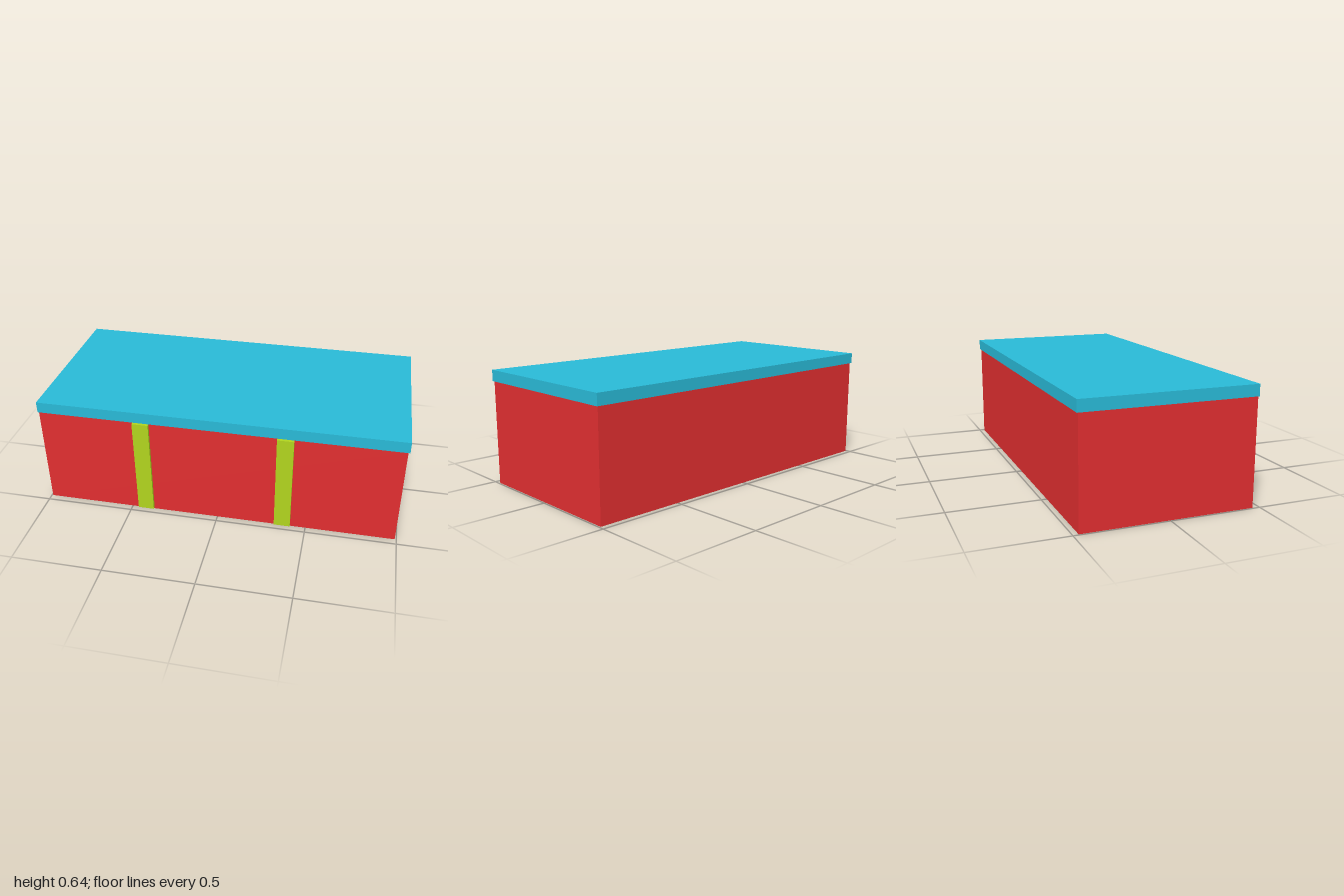
import * as THREE from 'three';

// Box given by its min and max corners
function block(name, color, [x0, y0, z0], [x1, y1, z1]) {
  const geometry = new THREE.BoxGeometry(x1 - x0, y1 - y0, z1 - z0);
  geometry.translate((x0 + x1) / 2, (y0 + y1) / 2, (z0 + z1) / 2);
  const mesh = new THREE.Mesh(geometry, new THREE.MeshStandardMaterial({ color }));
  mesh.name = name;
  return mesh;
}

export function createModel() {
  const model = new THREE.Group();
  model.name = 'chest';

  // Solid chest body
  model.add(block('body', 0xe02e30, [-0.993, 0, -0.47], [0.991, 0.578, 0.462]));

  // Flat lid, overhanging slightly at the back
  model.add(block('lid', 0x29b9d6, [-1, 0.578, -0.478], [1, 0.64, 0.465]));

  // Two upright straps on the front
  for (const [name, x] of [['rightStrap', -0.415], ['leftStrap', 0.37]]) {
    model.add(block(name, 0xb0d41e, [x - 0.045, 0.008, 0.455], [x + 0.045, 0.576, 0.478]));
  }

  return model;
}
